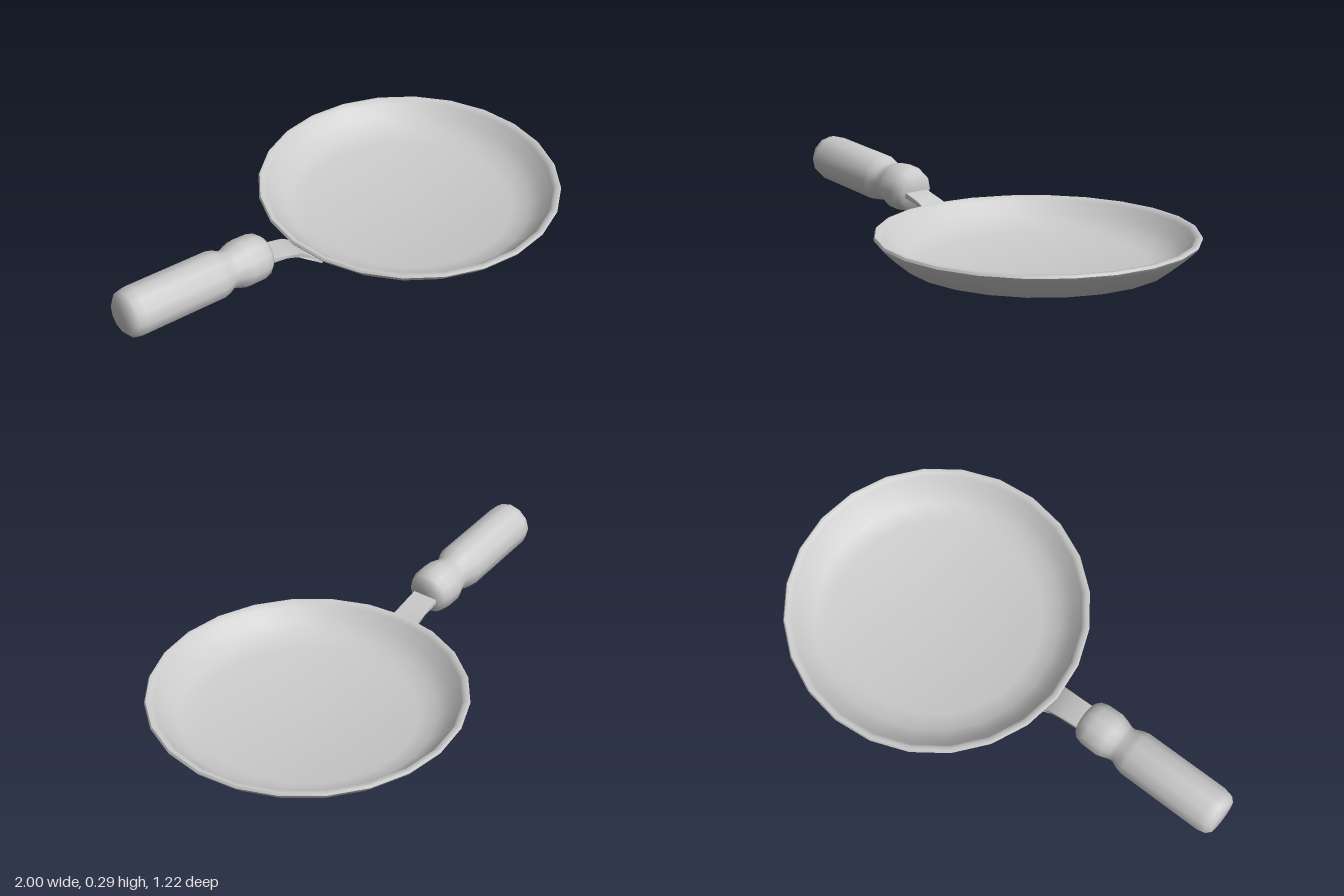
import * as THREE from 'three';
import { toCreasedNormals } from 'three/addons/utils/BufferGeometryUtils.js';

const material = new THREE.MeshStandardMaterial({ color: 0xcccccc });

function addPart(group, name, geometry) {
  const mesh = new THREE.Mesh(geometry, material);
  mesh.name = name;
  group.add(mesh);
  return mesh;
}

const lathe = (points, sides) =>
  new THREE.LatheGeometry(points.map(([r, y]) => new THREE.Vector2(r, y)), sides);

export function createModel() {
  const group = new THREE.Group();
  group.name = 'fryingPan';

  // Shallow dish: outside from the base up, over the rim, and back down inside
  const pan = addPart(group, 'pan', toCreasedNormals(lathe([
    [0, 0], [0.43, 0], [0.505, 0.022], [0.56, 0.068], [0.602, 0.108], [0.608, 0.118], [0.603, 0.127],
    [0.588, 0.127], [0.575, 0.113], [0.54, 0.072], [0.49, 0.034], [0.42, 0.015], [0, 0.015],
  ], 24), 0.9));
  pan.position.x = 0.39;

  // Turned grip with a groove near its front end, laid along x and tilted
  const grip = lathe([
    [0, 0], [0.07, 0], [0.088, 0.016], [0.096, 0.05], [0.096, 0.4], [0.09, 0.425],
    [0.077, 0.455], [0.077, 0.475], [0.088, 0.505], [0.095, 0.53], [0.094, 0.59],
    [0.085, 0.622], [0.068, 0.64], [0, 0.64],
  ], 12);
  grip.rotateZ(-Math.PI / 2 - 0.078);
  addPart(group, 'grip', toCreasedNormals(grip, 1)).position.set(-0.997, 0.194, 0);

  // Bent strap running from inside the grip down against the pan wall
  const top = [[-0.42, 0.148], [-0.35, 0.145], [-0.28, 0.128], [-0.225, 0.108], [-0.19, 0.082], [-0.115, 0.022]];
  const under = [[-0.125, 0.01], [-0.2, 0.068], [-0.235, 0.092], [-0.285, 0.111], [-0.35, 0.124], [-0.42, 0.127]];
  const side = new THREE.Shape([...top, ...under].map(([x, y]) => new THREE.Vector2(x, y)));
  const strap = new THREE.ExtrudeGeometry(side, { depth: 2, bevelEnabled: false });
  strap.translate(0, 0, -1);
  const p = strap.attributes.position;
  for (let i = 0; i < p.count; i++) {
    // Slight flare where the strap meets the pan
    const flare = THREE.MathUtils.smoothstep(p.getX(i), -0.26, -0.18);
    p.setZ(i, p.getZ(i) * (0.053 + 0.013 * flare));
  }
  addPart(group, 'strap', toCreasedNormals(strap, 0.7));

  return group;
}
